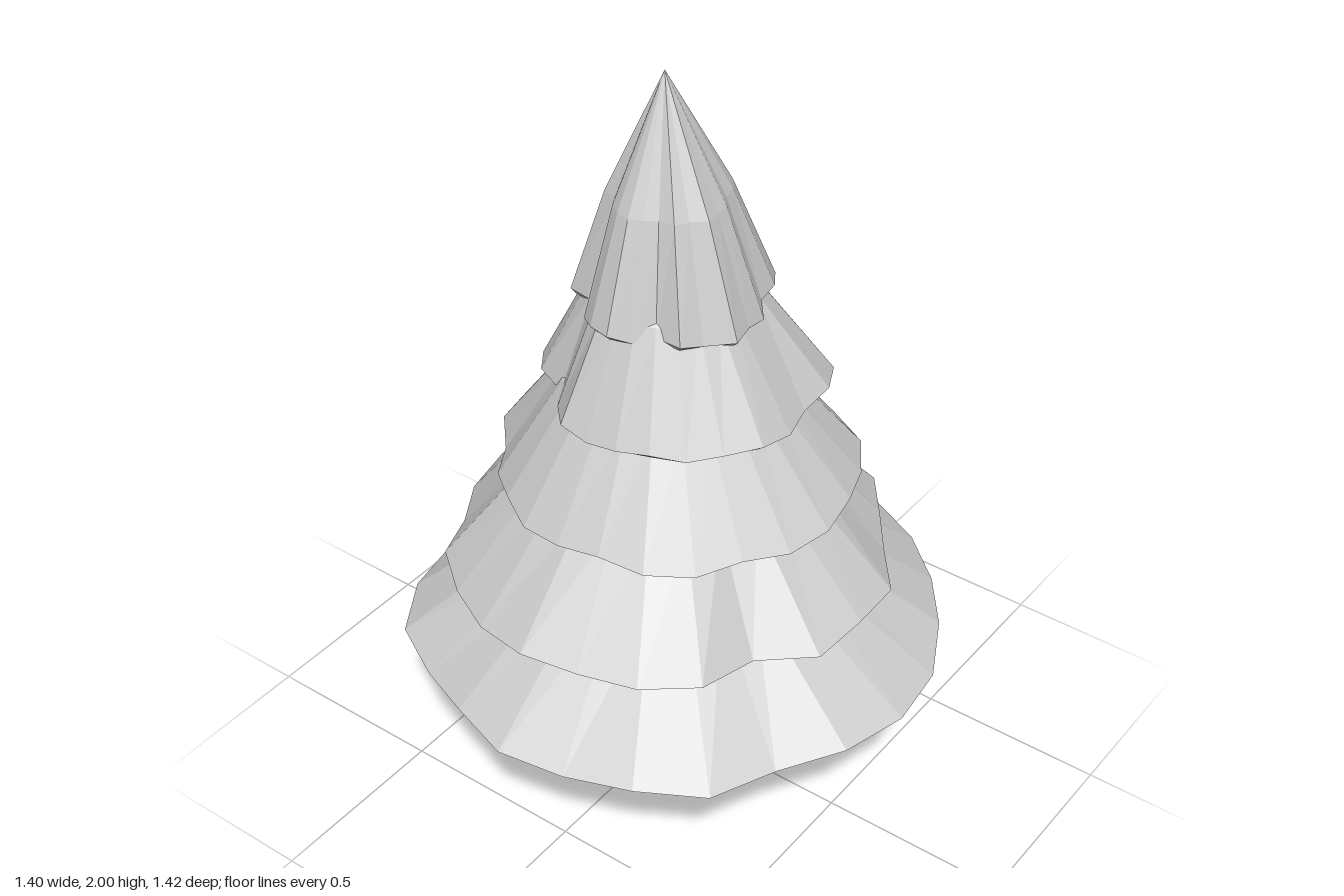
import * as THREE from 'three';

const CX = -0.03, CZ = 0.015; // axis of the foliage

// Skin over a stack of rings (bottom to top); each ring is { y, r: [radius per side] }
function loft(rings, cx, cz, material, name) {
  const n = rings[0].r.length, pos = [];
  const pt = (ring, i) => {
    const a = (i % n) / n * Math.PI * 2, r = ring.r[i % n];
    const y = Array.isArray(ring.y) ? ring.y[i % n] : ring.y;
    return [cx + Math.cos(a) * r, y, cz + Math.sin(a) * r];
  };
  for (let k = 0; k < rings.length - 1; k++) {
    const lo = rings[k], hi = rings[k + 1];
    for (let i = 0; i < n; i++) {
      if (lo.r[i] + lo.r[(i + 1) % n] > 0) pos.push(...pt(lo, i), ...pt(hi, i), ...pt(lo, i + 1));
      if (hi.r[i] + hi.r[(i + 1) % n] > 0) pos.push(...pt(hi, i), ...pt(hi, i + 1), ...pt(lo, i + 1));
    }
  }
  const geo = new THREE.BufferGeometry();
  geo.setAttribute('position', new THREE.Float32BufferAttribute(pos, 3));
  geo.computeVertexNormals();
  const mesh = new THREE.Mesh(geo, material);
  mesh.name = name;
  return mesh;
}

// Ragged skirts: rim radius every 15 degrees from +x towards +z,
// with the height and scale of the upper ring and the height of the peak
const tiers = [
  { y: 0.42, topY: 0.70, scale: 0.50, mix: 0.4, peak: 0.85,
    r: [.73, .71, .67, .72, .70, .68, .69, .66, .66, .69, .67, .645, .675, .69, .685, .68, .70, .69, .735, .73, .73, .715, .715, .73] },
  { y: 0.66, topY: 0.94, scale: 0.60, mix: 0.5, peak: 1.1,
    r: [.595, .60, .53, .60, .59, .575, .59, .58, .57, .57, .53, .55, .555, .56, .50, .59, .59, .61, .60, .58, .60, .56, .56, .605] },
  { y: 0.905, topY: 1.18, scale: 0.58, mix: 0.5, peak: 1.33,
    r: [.49, .48, .46, .475, .46, .435, .435, .44, .425, .425, .41, .45, .465, .455, .465, .405, .425, .46, .48, .48, .47, .50, .49, .485] },
  { y: 1.145, topY: 1.43, scale: 0.57, mix: 0.5, peak: 1.6,
    r: [.37, .37, .345, .335, .325, .32, .315, .32, .285, .26, .31, .33, .345, .31, .36, .325, .355, .33, .38, .385, .395, .42, .40, .36] },
  { y: 1.39, topY: 1.68, scale: 0.62, mix: 0.8, peak: 2,
    r: [.245, .27, .225, .235, .19, .21, .23, .225, .21, .18, .23, .23, .225, .225, .19, .19, .20, .26, .26, .26, .29, .265, .23, .25] },
];

export function createModel() {
  const grey = new THREE.MeshStandardMaterial({ color: 0xcccccc, flatShading: true });
  grey.name = 'light grey';
  const tree = new THREE.Group();
  tree.name = 'firTree';

  // Trunk: a straight post with shallow bark ridges
  const bark = Array.from({ length: 18 }, (_, i) => 0.066 - 0.009 * (i % 3 === 1 ? 1 : 0));
  const none = bark.map(() => 0);
  tree.add(loft([
    { y: 0, r: none }, { y: 0, r: bark }, { y: 0.46, r: bark }, { y: 0.46, r: none },
  ], -0.014, 0.005, grey, 'trunk'));

  // Foliage: flat underside, uneven lifted rim, sloping skirt, peak
  tiers.forEach((t, k) => {
    const mean = t.r.reduce((s, v) => s + v, 0) / t.r.length;
    const zero = t.r.map(() => 0);
    const rimY = t.r.map((_, i) => t.y + 0.009 + 0.008 * Math.sin(i * 2.1 + k * 1.7));
    tree.add(loft([
      { y: t.y, r: zero },
      { y: t.y, r: t.r.map(v => v * 0.95) },
      { y: rimY, r: t.r },
      { y: t.topY, r: t.r.map(v => t.scale * (mean + (v - mean) * t.mix)) },
      { y: t.peak, r: zero },
    ], CX, CZ, grey, 'foliageTier' + (k + 1)));
  });
  return tree;
}
